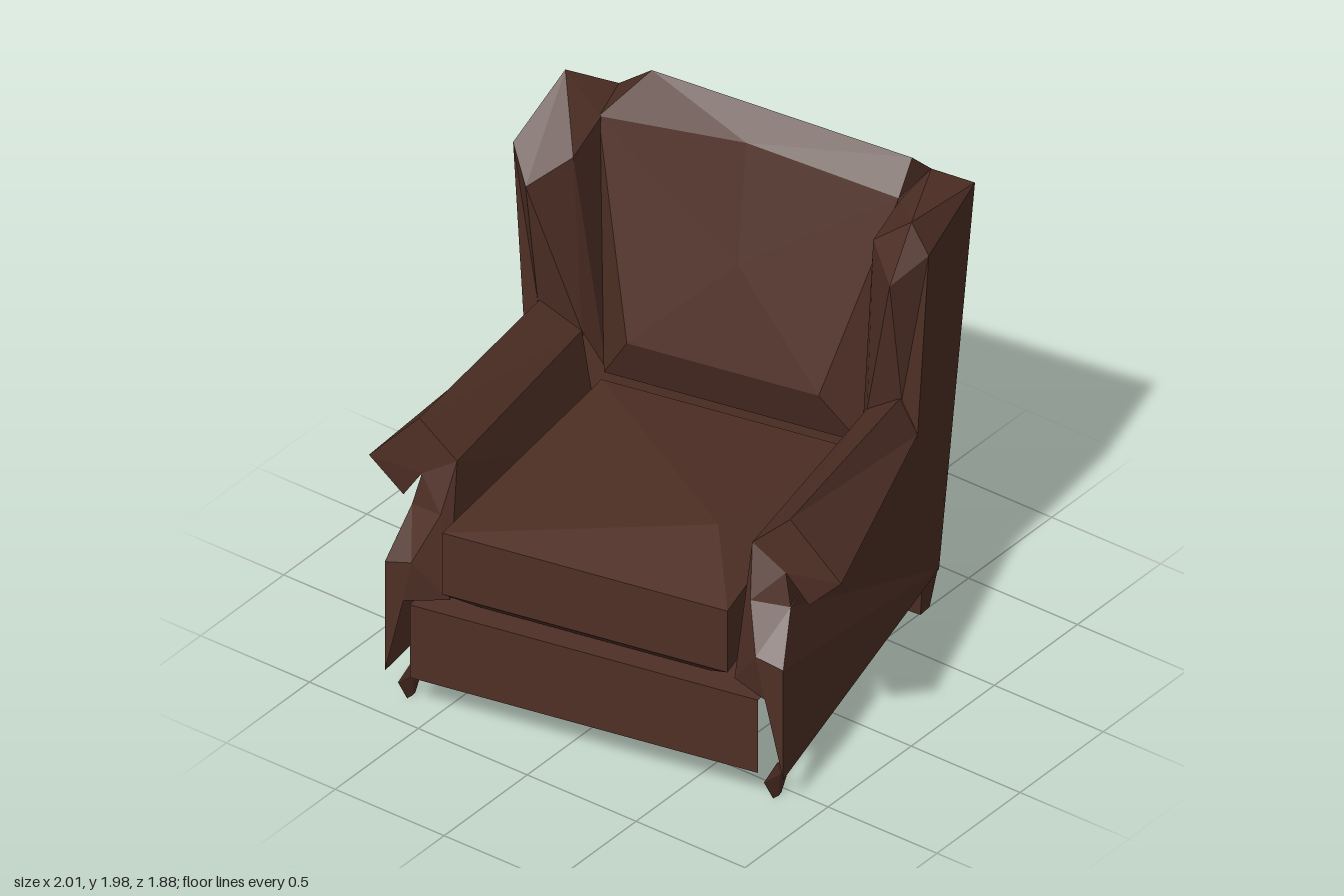
import * as THREE from 'three';

// Low-poly wing armchair; points are [sideways, height, depth] from the chair's own centre line.
export function createModel() {
  const leather = new THREE.MeshStandardMaterial({ color: 0x4e2f25, flatShading: true, side: THREE.DoubleSide });
  leather.name = 'brown leather';

  const model = new THREE.Group();
  model.name = 'armchair';
  const chair = new THREE.Group();
  chair.name = 'chair';
  chair.rotation.y = 0.196; // the chair stands slightly turned
  model.add(chair);
  const CX = -0.06;

  function add(name, geometry, x = CX, y = 0, z = 0) {
    const mesh = new THREE.Mesh(geometry, leather);
    mesh.name = name;
    mesh.position.set(x, y, z);
    chair.add(mesh);
    return mesh;
  }

  // Facets from polygons (fans); side -1 mirrors them and keeps the winding outward
  function facets(name, polygons, side = 1) {
    const pos = [];
    for (const p of polygons) {
      for (let i = 1; i < p.length - 1; i++) {
        const tri = side > 0 ? [p[0], p[i], p[i + 1]] : [p[0], p[i + 1], p[i]];
        for (const [x, y, z] of tri) pos.push(side * x, y, z);
      }
    }
    const g = new THREE.BufferGeometry();
    g.setAttribute('position', new THREE.Float32BufferAttribute(pos, 3));
    g.computeVertexNormals();
    return add(name, g);
  }

  // Quads joining two open or closed rows of points
  function strip(a, b, closed = false) {
    const out = [];
    const n = closed ? a.length : a.length - 1;
    for (let i = 0; i < n; i++) {
      const j = (i + 1) % a.length;
      out.push([a[i], a[j], b[j], b[i]]);
    }
    return out;
  }

  // Front rail and the deck over the hollow base
  facets('frontRail', [[[-0.708, 0.14, 0.785], [0.708, 0.14, 0.785], [0.708, 0.46, 0.785], [-0.708, 0.46, 0.785]]]);
  facets('deck', [[[-0.708, 0.46, 0.785], [0.708, 0.46, 0.785], [0.74, 0.46, -0.7], [-0.74, 0.46, -0.7]]]);

  // Seat cushion: bevelled underside, straight band and an off-centre crown
  const ring = (front, rear, y, zf, zr) => [[-front, y, zf], [front, y, zf], [rear, y, zr], [-rear, y, zr]];
  const under = ring(0.47, 0.42, 0.47, 0.7, -0.36);
  const low = ring(0.58, 0.5, 0.54, 0.778, -0.38);
  const high = ring(0.58, 0.5, 0.81, 0.778, -0.38);
  const crown = [0.365, 0.91, 0.417];
  facets('seatCushion', [
    ...strip(under, low, true), ...strip(low, high, true),
    ...high.map((p, i) => [p, high[(i + 1) % 4], crown]),
    [...under].reverse(),
  ]);

  // Back cushion: star-shaped bulge, tucked in at the bottom
  const topL = [-0.46, 1.98, -0.715], topR = [0.606, 1.92, -0.7];
  const shoulderL = [-0.62, 1.8, -0.6], shoulderR = [0.6, 1.8, -0.6];
  const brow = [-0.02, 1.86, -0.6], bulge = [0.01, 1.41, -0.47];
  const lipL = [-0.39, 1.01, -0.365], lipR = [0.39, 1.01, -0.365];
  const footL = [-0.52, 0.8, -0.44], footR = [0.52, 0.8, -0.44];
  const rearL = [-0.635, 1.82, -0.8], rearR = [0.635, 1.82, -0.8];
  facets('backCushion', [
    [topL, brow, topR], [topL, shoulderL, brow], [topR, brow, shoulderR],
    [shoulderL, bulge, brow], [brow, bulge, shoulderR],
    [shoulderL, lipL, bulge], [lipL, lipR, bulge], [lipR, shoulderR, bulge],
    [shoulderL, footL, lipL], [shoulderR, lipR, footR], [lipL, footL, footR, lipR],
    [topL, topR, rearR, rearL], [topL, rearL, shoulderL], [topR, shoulderR, rearR],
  ]);

  // Flat panel across the back
  facets('backPanel', [[[0.57, 0.15, -0.69], [-0.57, 0.15, -0.69], rearL, rearR]]);

  for (const s of [1, -1]) {
    const label = s > 0 ? 'left' : 'right';

    // Wing beside the back; its peak differs a little between the sides
    const rearLow = [0.72, 0.15, -0.69], rearIn = [0.57, 0.15, -0.69];
    const rearTop = [0.805, 1.8, -0.815], rearTopIn = [0.635, 1.82, -0.8];
    const peak = s > 0 ? [0.77, 1.89, -0.36] : [0.765, 1.95, -0.62];
    const outer = [0.845, 1.77, -0.35], tip = [0.74, 1.67, -0.24];
    const inner = [0.61, 1.76, -0.37], innerRear = [0.61, 1.8, -0.6];
    const elbow = [0.8, 0.97, -0.35], tipLow = [0.74, 1.11, -0.34];
    const innerLow = [0.58, 1.0, -0.38], innerFoot = [0.52, 0.47, -0.42];
    facets(label + 'Wing', [
      [rearIn, rearTopIn, rearTop, rearLow],
      [rearTop, rearTopIn, peak], [rearTop, peak, outer], [peak, tip, outer],
      [peak, inner, tip], [peak, rearTopIn, innerRear], [peak, innerRear, inner],
      [outer, tip, tipLow, elbow], [tip, inner, innerLow, tipLow],
      [inner, innerRear, [0.52, 0.8, -0.46], innerLow],
    ], s);

    // Outer side panel running from the back to the front post
    const postLow = [0.81, 0.14, 0.785], postTop = [0.81, 0.62, 0.785];
    const neck = [0.77, 0.8, 0.64], notch = [0.74, 0.93, 0.62];
    facets(label + 'SidePanel', [
      [rearLow, rearTop, elbow], [rearTop, outer, elbow],
      [rearLow, elbow, neck], [rearLow, neck, postTop, postLow],
    ], s);

    // Front post with its pinched, folded face
    const fold = [0.735, 0.47, 0.785], knuckle = [0.7, 0.65, 0.79];
    const cuff = [0.63, 0.82, 0.69], innerFront = [0.6, 1.02, 0.613], seatCorner = [0.58, 0.48, 0.72];
    facets(label + 'Post', [
      [postLow, postTop, fold], [postTop, knuckle, fold], [postTop, neck, knuckle],
      [neck, cuff, knuckle], [neck, notch, cuff], [notch, innerFront, cuff],
      [fold, knuckle, seatCorner], [knuckle, cuff, seatCorner],
    ], s);

    // Inner arm wall beside the seat
    facets(label + 'InnerArm', [
      [innerFront, innerLow, innerFoot], [innerFront, innerFoot, seatCorner], [cuff, innerFront, seatCorner],
    ], s);

    // Arm roll, flaring outward to the front
    const rollOut = [0.96, 0.94, 0.61], rollTop = [0.754, 1.165, 0.613], rollLow = [0.825, 0.8, 0.6];
    const rearRoll = [0.733, 1.115, -0.34];
    facets(label + 'ArmRoll', [
      [rollTop, rollOut, elbow, rearRoll], [rollOut, rollLow, elbow],
      [rollTop, rearRoll, innerLow, innerFront],
      [rollTop, notch, rollOut], [rollTop, innerFront, notch], [notch, rollLow, rollOut],
      [rollLow, notch, elbow],
    ], s);

    // Tapered rear leg
    const rear = add(label + 'RearLeg', new THREE.CylinderGeometry(0.075, 0.045, 0.16, 4).rotateY(Math.PI / 4),
      CX + s * 0.665, 0.08, -0.625);
    rear.rotation.y = -0.1;

    // Thin, diamond-shaped front leg
    const profile = [[0, 0], [0.025, 0], [0.08, 0.1], [0, 0.145]].map(([r, y]) => new THREE.Vector2(r, y));
    const front = add(label + 'FrontLeg', new THREE.LatheGeometry(profile, 4), CX + s * 0.744, 0, 0.7);
    front.scale.x = 0.18;
    front.rotation.y = -0.196;
  }
  return model;
}
